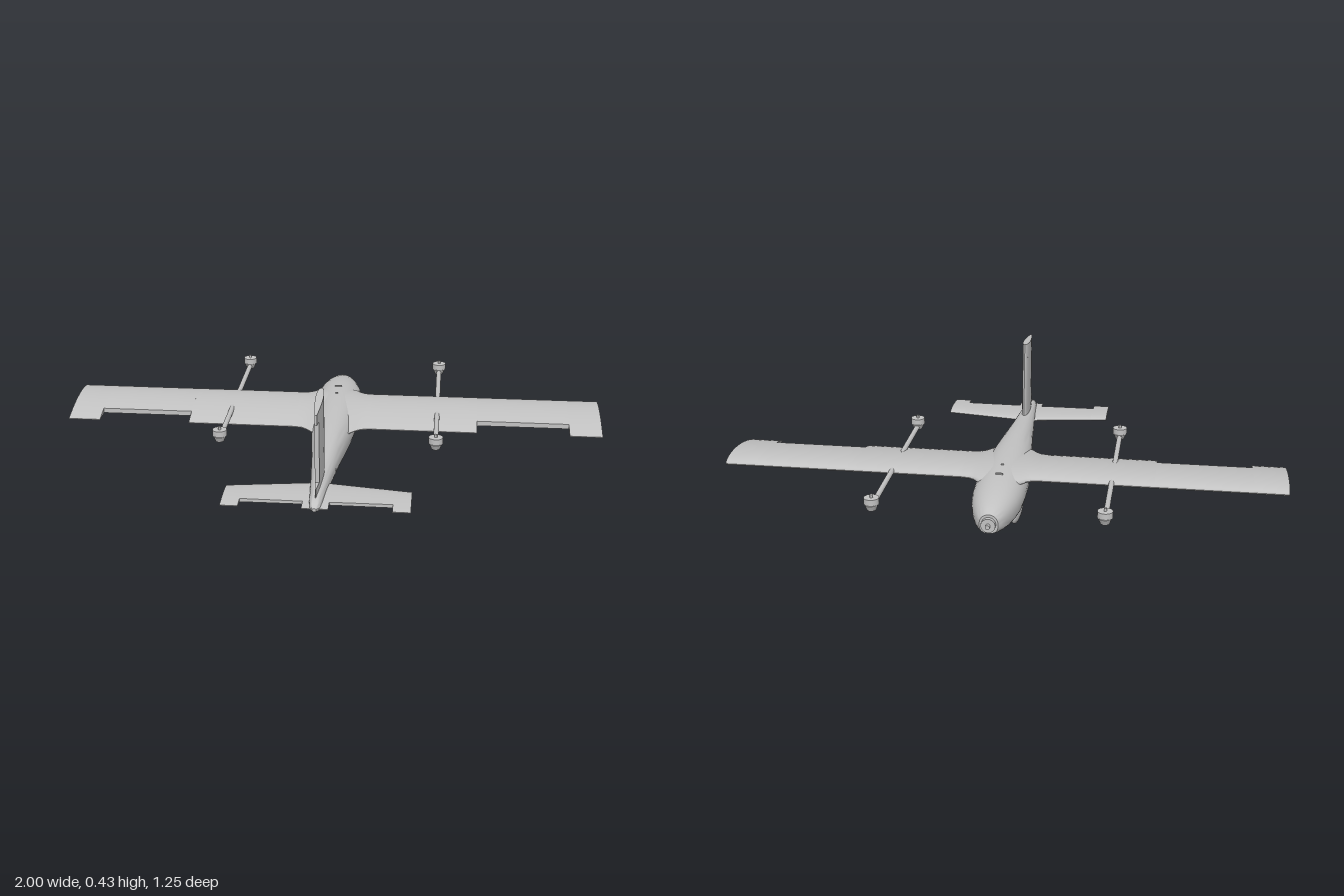
import * as THREE from 'three';
import { toCreasedNormals } from 'three/addons/utils/BufferGeometryUtils.js';

const grey = new THREE.MeshStandardMaterial({ color: 0xc2c2c2 });
grey.name = 'light grey';

// Skin a list of closed cross-sections and cap both ends
function loft(sections, crease = 0.6) {
  const n = sections[0].length, pos = sections.flat(2), idx = [];
  for (let s = 0; s < sections.length - 1; s++) {
    for (let i = 0; i < n; i++) {
      const j = (i + 1) % n, a = s * n + i, b = s * n + j;
      idx.push(a, b, b + n, a, b + n, a + n);
    }
  }
  const last = (sections.length - 1) * n;
  for (let i = 0; i < n - 2 - i; i++) {
    const a = i, b = i + 1, c = n - 2 - i, d = n - 1 - i;
    idx.push(a, d, c, last + a, last + c, last + d);
    if (b !== c) idx.push(a, c, b, last + a, last + b, last + c);
  }
  // Make the faces point outwards whichever way the sections run
  const v = (i) => new THREE.Vector3().fromArray(pos, idx[i] * 3);
  let volume = 0;
  for (let i = 0; i < idx.length; i += 3) volume += v(i).dot(v(i + 1).cross(v(i + 2)));
  if (volume < 0) idx.reverse();
  const g = new THREE.BufferGeometry();
  g.setAttribute('position', new THREE.Float32BufferAttribute(pos, 3));
  g.setIndex(idx);
  return toCreasedNormals(g, crease);
}

// Airfoil loop from upper to lower trailing edge, cut off at z = cut
function airfoil(le, te, cut, thick, camber, place) {
  const m = 16, out = [], chord = te - le, tMax = (cut - le) / chord;
  for (let i = -m; i <= m; i++) {
    const t = tMax * (1 - Math.cos((Math.abs(i) / m) * Math.PI / 2));
    const half = 5 * thick * (0.2969 * Math.sqrt(t) - 0.126 * t - 0.3516 * t * t
      + 0.2843 * t ** 3 - 0.1015 * t ** 4) + 0.001 * t;
    out.push(place(4 * camber * t * (1 - t) - Math.sign(i) * half, le + t * chord, t));
  }
  return out;
}

export function createModel() {
  const model = new THREE.Group();
  const add = (name, geometry, x = 0, y = 0, z = 0, parent = model) => {
    const mesh = new THREE.Mesh(geometry, grey);
    mesh.name = name;
    mesh.position.set(x, y, z);
    parent.add(mesh);
    return mesh;
  };

  // Fuselage stations: z, half width, bottom, top
  const stations = [
    [-0.562, 0.032, 0.056, 0.124], [-0.548, 0.042, 0.051, 0.132], [-0.52, 0.055, 0.044, 0.142],
    [-0.48, 0.068, 0.036, 0.152], [-0.43, 0.08, 0.03, 0.161], [-0.37, 0.088, 0.026, 0.167],
    [-0.29, 0.091, 0.023, 0.172], [-0.2, 0.09, 0.022, 0.173], [-0.1, 0.084, 0.023, 0.172],
    [0, 0.075, 0.027, 0.168], [0.1, 0.064, 0.035, 0.163], [0.2, 0.053, 0.045, 0.156],
    [0.3, 0.044, 0.055, 0.146], [0.4, 0.035, 0.065, 0.138], [0.5, 0.027, 0.073, 0.131],
    [0.57, 0.022, 0.079, 0.124], [0.605, 0.017, 0.084, 0.115], [0.622, 0.007, 0.091, 0.103],
  ];
  const bodyRing = ([z, w, low, high]) => Array.from({ length: 36 }, (_, i) => {
    const a = (i / 36) * Math.PI * 2, c = Math.cos(a), s = Math.sin(a);
    const p = s < 0 ? 0.74 : 0.95;
    return [w * Math.sign(c) * Math.abs(c) ** p,
      (low + high) / 2 + (high - low) / 2 * Math.sign(s) * Math.abs(s) ** p, z];
  });
  add('fuselage', loft(stations.map(bodyRing), 0.9));

  // Nose motor and shaft
  const disc = (r1, r2, h) => new THREE.CylinderGeometry(r1, r2, h, 24);
  add('noseMotor', disc(0.025, 0.025, 0.02).rotateX(-Math.PI / 2), 0, 0.09, -0.567);
  add('noseShaft', disc(0.008, 0.008, 0.03).rotateX(-Math.PI / 2), 0, 0.09, -0.575);

  // Wing root fairing
  const fairing = [[0, -0.36, 0.05, 0.115], [0.07, -0.335, 0.035, 0.115], [0.09, -0.315, 0.012, 0.117],
    [0.11, -0.304, -0.004, 0.119], [0.14, -0.3, -0.01, 0.12]];
  const wingSection = (x, le, te, cut, thick) =>
    airfoil(le, te, cut, thick * (te - le), 0.01, (h, z, t) => [x, 0.143 - 0.02 * t + h, z]);
  const tailSection = (x, cut) => airfoil(0.41 + 0.156 * Math.abs(x), 0.612, cut, 0.019, 0,
    (h, z) => [x, 0.096 + h, z]);

  for (const side of [1, -1]) {
    const name = side > 0 ? 'left' : 'right';
    add(name + 'WingFairing', loft(fairing.map(([x, le, te, k]) => wingSection(side * x, le, te, te, k))));

    // Wing panels; the middle one is cut short for the aileron bay
    for (const [x0, x1, cut] of [[0.14, 0.54, -0.01], [0.54, 0.88, -0.075], [0.88, 1, -0.01]]) {
      add(name + 'WingPanel', loft([x0, x1].map((x) => wingSection(side * x, -0.3, -0.01, cut, 0.12))));
    }

    // Tailplane panels with elevator bay
    for (const [x0, x1, cut] of [[0, 0.045, 0.612], [0.045, 0.257, 0.567], [0.257, 0.318, 0.612]]) {
      add(name + 'TailplanePanel', loft([x0, x1].map((x) => tailSection(side * x, cut))));
    }

    // Lift motor booms, fore and aft of the wing
    for (const [z, inner] of [[-0.593, -0.25], [0.167, -0.13]]) {
      const arm = new THREE.Group();
      arm.name = name + (z < 0 ? 'Front' : 'Rear') + 'LiftArm';
      model.add(arm);
      const x = side * 0.39, len = Math.abs(z - inner);
      add('boom', disc(0.0095, 0.0095, len).rotateX(Math.PI / 2), x, 0.146, (z + inner) / 2, arm);
      add('motorMount', disc(0.024, 0.016, 0.021).scale(1, 1, 1.28), x, 0.146, z, arm);
      add('liftMotor', disc(0.026, 0.026, 0.023), x, 0.1665, z, arm);
      add('motorShaft', disc(0.005, 0.005, 0.012), x, 0.183, z, arm);
    }

    // Belly skid: streamlined blister with a flattened sole
    const skid = new THREE.SphereGeometry(1, 28, 20);
    const p = skid.attributes.position;
    for (let i = 0; i < p.count; i++) {
      p.setY(i, Math.max(p.getY(i), -0.85) / 0.85);
    }
    skid.scale(0.018, 0.032, 0.1);
    skid.computeVertexNormals();
    add(name + 'BellySkid', skid, side * 0.06, 0.032, -0.297);

    // Small port on the rear fuselage side
    add(name + 'SidePort', disc(0.005, 0.005, 0.006).rotateZ(Math.PI / 2), side * 0.043, 0.098, 0.303);
  }

  // Fin panels with rudder bay; the tip slopes down towards the back
  const finSection = (y, cut, slope = 0) => airfoil(0.34 + 0.08 * (y - 0.145), 0.582, cut, 0.026, 0,
    (h, z, t) => [h, y - slope * t, z]);
  add('finFoot', loft([finSection(0.1, 0.58), finSection(0.152, 0.58)]));
  add('finPanel', loft([finSection(0.152, 0.523), finSection(0.373, 0.523)]));
  add('finTip', loft([finSection(0.373, 0.56), finSection(0.429, 0.56, 0.021)]));

  // Hatch latches along the top of the body
  add('frontLatch', new THREE.BoxGeometry(0.026, 0.005, 0.008), 0, 0.171, -0.32);
  add('rearLatch', new THREE.BoxGeometry(0.01, 0.005, 0.006), 0, 0.1725, -0.24);

  return model;
}
